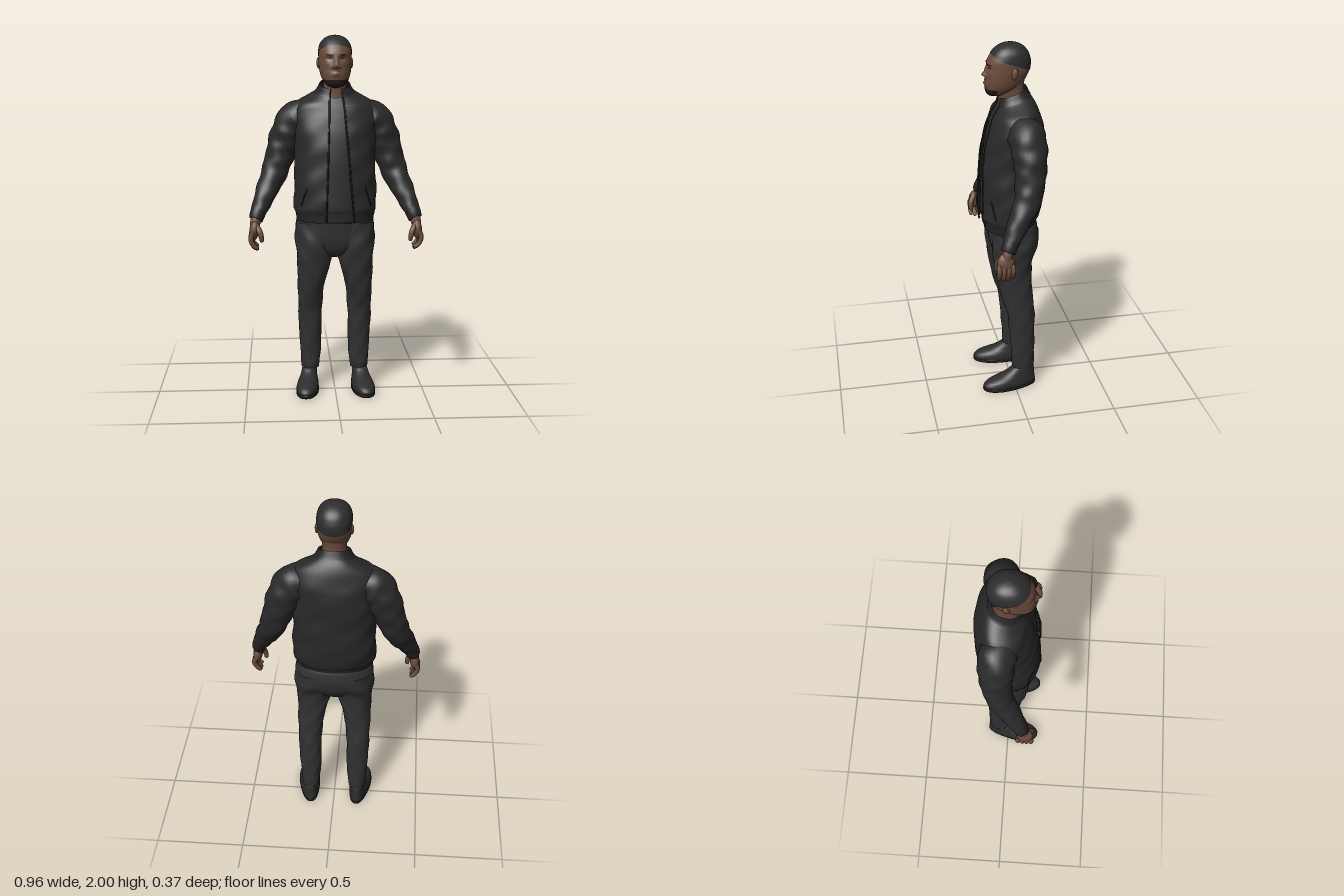
import * as THREE from 'three';

const mat = (name, color, side = THREE.FrontSide) => {
  const m = new THREE.MeshStandardMaterial({ color, side });
  m.name = name;
  return m;
};

// Smooth monotone interpolation of section rows [y, centreX, halfWidth, frontZ, backZ]
function sample(S, y) {
  let i = 0;
  while (i < S.length - 2 && y > S[i + 1][0]) i++;
  const h = S[i + 1][0] - S[i][0];
  const t = THREE.MathUtils.clamp((y - S[i][0]) / h, 0, 1);
  return [1, 2, 3, 4].map((k) => {
    const slope = (j) => (S[j + 1][k] - S[j][k]) / (S[j + 1][0] - S[j][0]);
    const tangent = (j) => {
      if (j === 0) return slope(0);
      if (j === S.length - 1) return slope(j - 1);
      const a = slope(j - 1), b = slope(j);
      return a * b <= 0 ? 0 : (2 * a * b) / (a + b);
    };
    const t2 = t * t, t3 = t2 * t;
    return S[i][k] * (2 * t3 - 3 * t2 + 1) + S[i + 1][k] * (3 * t2 - 2 * t3)
      + h * (tangent(i) * (t3 - 2 * t2 + t) + tangent(i + 1) * (t3 - t2));
  });
}

// Point of a horizontal cross-section at angle a (0 = front, +90 degrees = left side)
function ringPoint(S, a, y, { out = 0, n = 2.25, fold = 0 } = {}) {
  const [cx, rx, f, b] = sample(S, y);
  const pw = (v) => Math.sign(v) * Math.abs(v) ** (2 / n);
  const k = 1 + fold * (Math.sin(3 * a + 24 * y) + Math.sin(5 * a - 43 * y)) / 2;
  return [cx + (rx + out) * k * pw(Math.sin(a)), y, (f + b) / 2 + ((f - b) / 2 + out) * k * pw(Math.cos(a))];
}

// Surface from a rule p(u, v), u and v from 0 to 1
function grid(p, nu, nv, closed = true) {
  const pos = [], idx = [], w = closed ? nu : nu + 1;
  for (let j = 0; j <= nv; j++) for (let i = 0; i < w; i++) pos.push(...p(i / nu, j / nv));
  for (let j = 0; j < nv; j++) for (let i = 0; i < nu; i++) {
    const a = j * w + i, b = j * w + ((i + 1) % w);
    idx.push(a, b, b + w, a, b + w, a + w);
  }
  const g = new THREE.BufferGeometry();
  g.setAttribute('position', new THREE.Float32BufferAttribute(pos, 3));
  g.setIndex(idx);
  g.computeVertexNormals();
  return g;
}

// Evenly steps through the section rows so tight spacing gets more rings
const rowY = (S, v) => {
  const t = v * (S.length - 1), i = Math.min(Math.floor(t), S.length - 2);
  return THREE.MathUtils.lerp(S[i][0], S[i + 1][0], t - i);
};
const loft = (S, opt, nu = 40, sub = 5) =>
  grid((u, v) => ringPoint(S, u * Math.PI * 2, rowY(S, v), opt), nu, (S.length - 1) * sub);

// Round limb along a path of [x, y, z, radius]
function limb(pts, nu = 20, nv = 24, fold = 0) {
  const curve = new THREE.CatmullRomCurve3(pts.map((q) => new THREE.Vector3(...q)));
  return grid((u, v) => {
    const c = curve.getPoint(v), t = curve.getTangent(v);
    const k = Math.min(v * (pts.length - 1), pts.length - 1.0001), i = Math.floor(k);
    const a = u * Math.PI * 2;
    const r = THREE.MathUtils.lerp(pts[i][3], pts[i + 1][3], k - i)
      * (1 + fold * (Math.sin(2 * a + 45 * v) + Math.sin(3 * a - 31 * v)) / 2);
    const e1 = new THREE.Vector3(0, 0, 1).addScaledVector(t, -t.z).normalize();
    const e2 = t.clone().cross(e1);
    return c.addScaledVector(e1, r * Math.cos(a)).addScaledVector(e2, r * Math.sin(a)).toArray();
  }, nu, nv);
}

function mirrored(g) {
  const m = g.clone().scale(-1, 1, 1), id = m.index.array;
  for (let i = 0; i < id.length; i += 3) [id[i], id[i + 1]] = [id[i + 1], id[i]];
  m.computeVertexNormals();
  return m;
}

export function createModel() {
  const root = new THREE.Group();
  const skin = mat('skin', 0x6a4a3b), hair = mat('hair', 0x2d2d2f, THREE.DoubleSide);
  const jacket = mat('jacket cloth', 0x29292a, THREE.DoubleSide), trim = mat('jacket trim', 0x242425, THREE.DoubleSide);
  const shirt = mat('shirt cloth', 0x2a2a2c, THREE.DoubleSide), trousers = mat('trouser cloth', 0x313133, THREE.DoubleSide);
  const leather = mat('shoe upper', 0x2c2c2d), sole = mat('shoe sole', 0x1f1f20);
  const dark = mat('eye and beard', 0x241c19, THREE.DoubleSide), lip = mat('lips', 0x6b4339);
  const add = (name, g, m) => {
    const mesh = new THREE.Mesh(g, m);
    mesh.name = name;
    root.add(mesh);
  };
  const pair = (name, g, m) => {
    add(name + 'Left', g, m);
    add(name + 'Right', mirrored(g), m);
  };

  // Head: skull sections with soft bumps for nose, brow, sockets, mouth
  const skull = [[1.715, 0, 0, 0.07, 0.06], [1.725, 0, 0.035, 0.112, 0.03], [1.745, 0, 0.06, 0.126, -0.02],
    [1.78, 0, 0.078, 0.13, -0.06], [1.82, 0, 0.087, 0.127, -0.09], [1.86, 0, 0.09, 0.122, -0.106],
    [1.9, 0, 0.09, 0.119, -0.11], [1.94, 0, 0.084, 0.1, -0.1], [1.97, 0, 0.068, 0.074, -0.08],
    [1.99, 0, 0.042, 0.042, -0.05], [1.997, 0, 0.022, 0.02, -0.028], [2, 0, 0, -0.004, -0.005]];
  const bell = (x, y, cx, cy, sx, sy) => Math.exp(-(((x - cx) / sx) ** 2) - ((y - cy) / sy) ** 2);
  const headPoint = (a, y, out = 0) => {
    const p = ringPoint(skull, a, y, { out });
    if (Math.cos(a) > 0.3) {
      const x = Math.abs(p[0]);
      p[2] += 0.02 * bell(x, y, 0, 1.835, 0.014, 0.013) + 0.011 * bell(x, y, 0, 1.86, 0.01, 0.025)
        + 0.007 * bell(x, y, 0.018, 1.829, 0.009, 0.008) + 0.006 * bell(x, y, 0, 1.79, 0.025, 0.014)
        + 0.004 * bell(x, y, 0.035, 1.895, 0.022, 0.009) - 0.007 * bell(x, y, 0.034, 1.874, 0.017, 0.01)
        + 0.004 * bell(x, y, 0.05, 1.845, 0.018, 0.016);
    }
    return p;
  };
  const hairline = (a) => 1.9 + 0.045 * Math.cos(a);
  const full = Math.PI * 2;
  add('face', grid((u, v) => headPoint(u * full, THREE.MathUtils.lerp(1.715, hairline(u * full) + 0.004, v)), 96, 60), skin);
  add('hair', grid((u, v) => {
    const h = hairline(u * full);
    return headPoint(u * full, h + (2 - h) * Math.sin(v * Math.PI / 2), v === 1 ? 0 : 0.003);
  }, 64, 24), hair);
  add('beard', grid((u, v) => headPoint((u - 0.5) * 2.5, THREE.MathUtils.lerp(1.716, 1.762, v), 0.003), 32, 12, false), dark);

  // Small oval plates lying on the face
  const patch = (cx, cy, rx, ry) => grid((u, v) => {
    const x = cx + rx * (1 - v) * Math.cos(u * full), y = cy + ry * (1 - v) * Math.sin(u * full);
    const a = Math.asin(Math.sign(x) * Math.min(1, Math.abs(x) / sample(skull, y)[1]) ** 1.125);
    const p = headPoint(a, y);
    return [p[0], y, p[2] + 0.003];
  }, 20, 4);
  pair('eyebrow', patch(0.036, 1.894, 0.02, 0.0035), dark);
  pair('eye', patch(0.034, 1.874, 0.012, 0.0035), dark);
  add('moustache', patch(0, 1.808, 0.026, 0.0025), dark);
  add('lips', patch(0, 1.79, 0.023, 0.007), lip);
  add('mouthLine', patch(0, 1.79, 0.022, 0.001).translate(0, 0, 0.001), dark);
  pair('ear', new THREE.SphereGeometry(1, 16, 12).scale(0.011, 0.031, 0.018).rotateX(-0.15).translate(0.089, 1.85, -0.012), skin);
  add('neck', loft([[1.62, 0, 0.075, 0.06, -0.09], [1.7, 0, 0.064, 0.058, -0.078], [1.76, 0, 0.063, 0.066, -0.076],
    [1.82, 0, 0.066, 0.07, -0.082]], {}), skin);

  // Jacket body: open at the front, neckline tilted up at the back
  const coat = [[0.99, 0, 0.212, 0.165, -0.135], [1.04, 0, 0.222, 0.17, -0.145], [1.06, 0, 0.228, 0.175, -0.158],
    [1.15, 0, 0.228, 0.172, -0.178], [1.3, 0, 0.223, 0.165, -0.184], [1.45, 0, 0.225, 0.147, -0.185],
    [1.55, 0, 0.232, 0.12, -0.178], [1.6, 0, 0.228, 0.102, -0.165], [1.64, 0, 0.205, 0.088, -0.148],
    [1.67, 0, 0.15, 0.076, -0.128], [1.7, 0, 0.1, 0.066, -0.103], [1.74, 0, 0.078, 0.058, -0.085]];
  const coatPoint = (a, y, opt) => {
    const p = ringPoint(coat, a, y, opt);
    p[1] -= 0.35 * THREE.MathUtils.smoothstep(y, 1.6, 1.72) * (p[2] + 0.02);
    return p;
  };
  const edge = (y, s) => {
    const t = (1.74 - y) / 0.75, x = s > 0 ? 0.036 + 0.062 * t : 0.03 + 0.026 * t;
    return Math.asin((x / sample(coat, y)[1]) ** 1.125);
  };
  const coatBand = (y0, y1, nv, opt) => grid((u, v) => {
    const y = THREE.MathUtils.lerp(y0, y1, v);
    return coatPoint(THREE.MathUtils.lerp(edge(y, 1), full - edge(y, -1), u), y, opt);
  }, 64, nv, false);
  add('jacketBody', coatBand(1.045, 1.71, 60, { fold: 0.02 }), jacket);
  add('jacketHem', coatBand(0.99, 1.05, 6, { out: -0.001 }), trim);
  add('jacketCollar', coatBand(1.695, 1.74, 8, { out: 0.005 }), trim);
  const seam = (rule, r) => new THREE.TubeGeometry(new THREE.CatmullRomCurve3(
    Array.from({ length: 17 }, (_, i) => new THREE.Vector3(...rule(i / 16)))), 40, r, 6);
  for (const s of [1, -1]) {
    add(s > 0 ? 'zipEdgeLeft' : 'zipEdgeRight', seam((t) => {
      const y = 0.992 + 0.745 * t;
      return coatPoint(s * edge(y, s), y, { fold: 0.01 });
    }, 0.005), trim);
  }
  pair('pocketWelt', seam((t) => coatPoint(0.72 + 0.22 * t, 1.18 - 0.1 * t, { out: 0.002 }), 0.004), trim);

  // Shirt behind the open jacket
  const shirtRows = [[0.975, 0, 0.17, 0.09, -0.1], ...coat.slice(0, -1)];
  add('shirt', grid((u, v) => {
    const a = u * full, y = rowY(shirtRows, v);
    return y < 0.99 ? ringPoint(shirtRows, a, y, { out: -0.015 }) : coatPoint(a, y, { out: -0.015 });
  }, 48, 55), shirt);

  // Sleeves, cuffs and hands
  pair('sleeve', limb([[0.13, 1.575, -0.045, 0.08], [0.21, 1.545, -0.05, 0.1], [0.263, 1.46, -0.055, 0.093],
    [0.298, 1.36, -0.05, 0.082], [0.335, 1.25, -0.03, 0.073], [0.384, 1.14, 0.03, 0.058],
    [0.422, 1.05, 0.078, 0.044]], 28, 48, 0.05), jacket);
  pair('cuff', limb([[0.418, 1.062, 0.072, 0.044], [0.43, 1.03, 0.086, 0.042], [0.438, 1.005, 0.094, 0.038],
    [0.439, 1.003, 0.095, 0.02]], 24, 12), trim);
  pair('wrist', limb([[0.43, 1.03, 0.088, 0.03], [0.442, 0.985, 0.102, 0.028], [0.446, 0.95, 0.108, 0.022]]), skin);
  pair('palm', new THREE.SphereGeometry(1, 20, 16).scale(0.027, 0.058, 0.046).rotateZ(0.12).translate(0.447, 0.948, 0.11), skin);
  for (let i = 0; i < 4; i++) {
    const z = 0.074 + 0.024 * i, d = [0.012, 0.002, 0, 0.008][i];
    pair('finger' + (i + 1), limb([[0.453, 0.945, z, 0.014], [0.465, 0.91, z, 0.0145], [0.46, 0.877 + d, z, 0.013],
      [0.444, 0.855 + d, z, 0.012], [0.428, 0.845 + d, z, 0.009], [0.423, 0.843 + d, z, 0.0005]], 12, 18), skin);
  }
  pair('thumb', limb([[0.435, 0.975, 0.125, 0.016], [0.417, 0.945, 0.145, 0.016], [0.408, 0.915, 0.15, 0.014],
    [0.406, 0.892, 0.147, 0.01], [0.406, 0.886, 0.146, 0.0005]], 12, 16), skin);

  // Trousers
  add('trouserSeat', loft([[0.775, 0, 0.02, 0.02, -0.02], [0.8, 0, 0.09, 0.08, -0.075], [0.84, 0, 0.17, 0.105, -0.11],
    [0.89, 0, 0.212, 0.117, -0.138], [0.95, 0, 0.22, 0.123, -0.15], [1, 0, 0.213, 0.128, -0.145],
    [1.04, 0, 0.2, 0.128, -0.13]], {}), trousers);
  pair('trouserLeg', loft([[0.125, 0.138, 0.05, 0.01, -0.113], [0.16, 0.138, 0.053, 0.016, -0.116], [0.22, 0.138, 0.058, 0.017, -0.114],
    [0.3, 0.138, 0.062, 0.022, -0.116], [0.45, 0.14, 0.066, 0.037, -0.115], [0.55, 0.138, 0.07, 0.062, -0.108],
    [0.65, 0.13, 0.079, 0.087, -0.101], [0.75, 0.118, 0.094, 0.105, -0.097], [0.82, 0.114, 0.104, 0.112, -0.106],
    [0.9, 0.112, 0.11, 0.117, -0.136], [0.98, 0.108, 0.106, 0.115, -0.14]], { fold: 0.04 }, 36, 6), trousers);

  // Ankles and shoes, toes turned slightly out
  pair('ankle', loft([[0.07, 0.138, 0.036, 0, -0.1], [0.16, 0.138, 0.038, 0, -0.1]], {}), skin);
  const place = (g) => {
    const p = g.attributes.position;
    for (let i = 0; i < p.count; i++) {
      // narrower at the heel, broader at the ball of the foot
      p.setX(i, p.getX(i) * (0.9 + 0.2 * THREE.MathUtils.smoothstep(p.getZ(i), -0.1, 0.1)));
    }
    g.translate(0, 0, 0.05).rotateY(0.13).translate(0.144, 0, -0.05);
    g.computeVertexNormals();
    return g;
  };
  pair('shoe', place(loft([[0.016, 0, 0.056, 0.186, -0.122], [0.03, 0, 0.058, 0.188, -0.124], [0.05, 0, 0.056, 0.172, -0.122],
    [0.066, 0, 0.052, 0.135, -0.12], [0.085, 0, 0.047, 0.08, -0.119], [0.108, 0, 0.044, 0.035, -0.116],
    [0.125, 0, 0.041, 0.012, -0.11], [0.128, 0, 0.034, 0, -0.1]], {})), leather);
  pair('shoeSole', place(loft([[0, 0, 0.001, 0.03, 0.028], [0.002, 0, 0.056, 0.182, -0.12], [0.01, 0, 0.059, 0.19, -0.125],
    [0.02, 0, 0.059, 0.19, -0.125], [0.022, 0, 0.05, 0.18, -0.115]], {}, 40, 3)), sole);
  return root;
}
